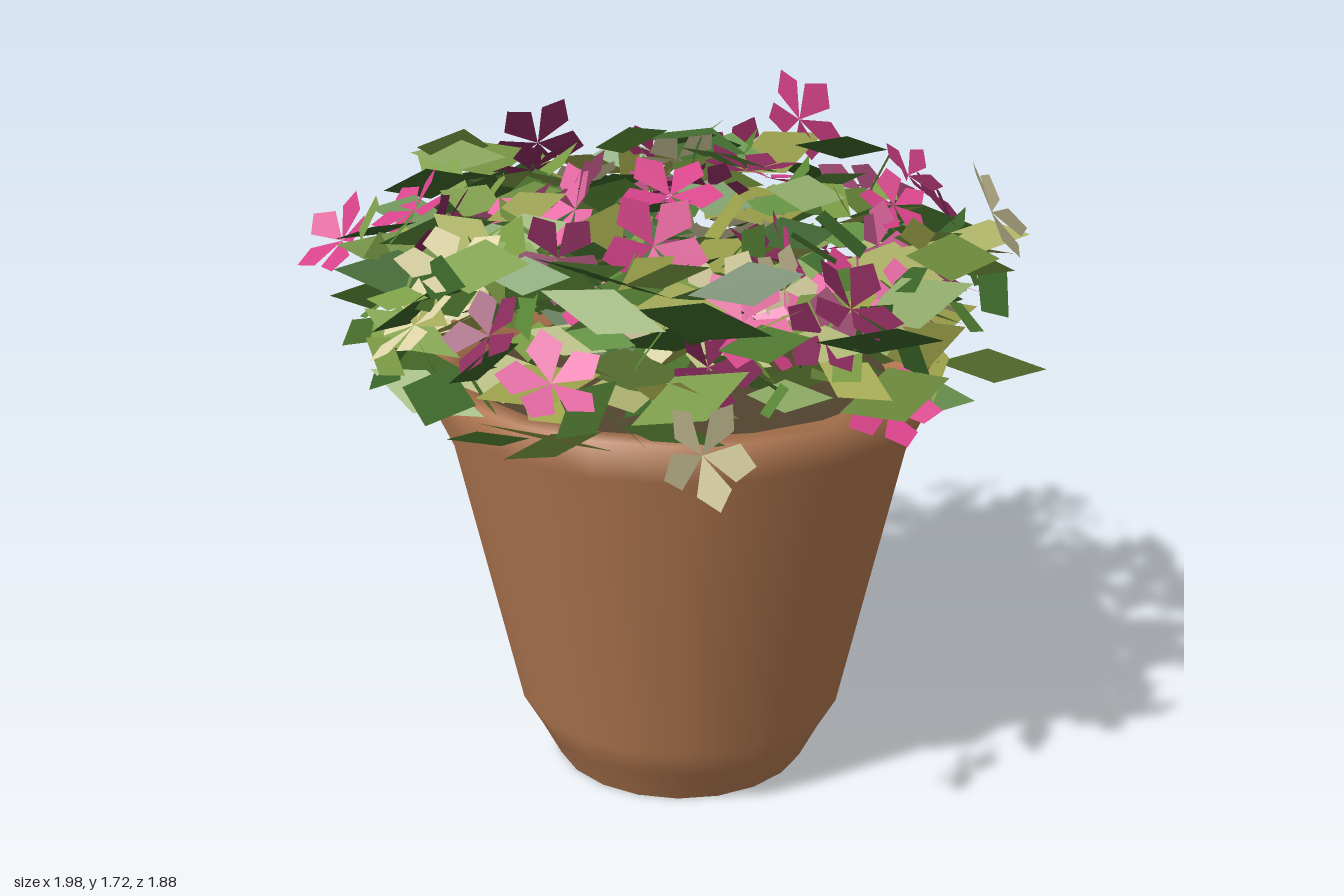
import * as THREE from 'three';
import { mergeGeometries } from 'three/addons/utils/BufferGeometryUtils.js';

// Small seeded generator
let seed = 7;
function rnd(a = 0, b = 1) {
  seed = (seed * 16807) % 2147483647;
  return a + (b - a) * (seed / 2147483647);
}

// Flat kite along +z, facing up: base, tip and two side corners
function kite(length, width, widest) {
  const w = width / 2, m = length * widest;
  const g = new THREE.BufferGeometry();
  g.setAttribute('position', new THREE.Float32BufferAttribute([
    0, 0, 0, 0, 0, length, w, 0, m,
    0, 0, 0, -w, 0, m, 0, 0, length], 3));
  g.computeVertexNormals();
  return g;
}

const placer = new THREE.Object3D();
placer.rotation.order = 'YXZ';
function place(g, x, y, z, yaw, pitch, roll) {
  placer.position.set(x, y, z);
  placer.rotation.set(pitch, yaw, roll);
  placer.updateMatrix();
  return g.applyMatrix4(placer.matrix);
}

// Five petals round the y axis, cupped a little
function flower(size) {
  const petals = [];
  for (let i = 0; i < 5; i++) {
    const g = kite(size, size * 0.66, 0.66);
    petals.push(place(g, 0, 0, 0, (i * Math.PI * 2) / 5, rnd(-0.4, 0), rnd(-0.25, 0.25)));
  }
  return mergeGeometries(petals);
}

const lathe = (points) =>
  new THREE.LatheGeometry(points.map(([r, y]) => new THREE.Vector2(r, y)), 20);

export function createModel() {
  seed = 7;
  const model = new THREE.Group();
  const add = (parent, name, geo, color, options = {}) => {
    const mesh = new THREE.Mesh(geo, new THREE.MeshStandardMaterial({ color, ...options }));
    mesh.name = name;
    parent.add(mesh);
  };

  // Pot, open underneath, with domed soil
  const pot = new THREE.Group();
  pot.name = 'pot';
  pot.position.set(0.01, 0, 0.01);
  model.add(pot);
  add(pot, 'potWall', lathe([[0.345, 0], [0.395, 0.1], [0.445, 0.19], [0.61, 0.95], [0.655, 1.05],
    [0.66, 1.15], [0.6, 1.15], [0.55, 1.07]]), 0xb57a52, { side: THREE.DoubleSide });
  add(pot, 'soil', lathe([[0.56, 1.07], [0.3, 1.1], [0, 1.11]]), 0x51442f);

  // Leaves: long axis near level, blade tilted steeply to either side
  const leafColors = [0x5b8a38, 0x3a6428, 0x7c9d45, 0x9ca24a];
  const leaves = leafColors.map(() => []);
  const addLeaf = (x, y, z, yaw, length, i) => {
    const g = kite(length, length * rnd(0.36, 0.48), rnd(0.42, 0.55)).translate(0, 0, -length / 2);
    const roll = rnd(0.45, 1.25) * (rnd() < 0.5 ? -1 : 1);
    leaves[i % 4].push(place(g, x, y, z, yaw, rnd(-0.28, 0.28), roll));
  };
  // Outermost leaves, given by their tips
  const tips = [[0.99, 1.34, -0.22], [-0.99, 1.39, 0.12], [0.27, 1.22, 0.94], [0.31, 1.22, -0.94],
    [0.9, 1.35, 0.38], [-0.86, 1.42, -0.25], [-0.62, 1.45, -0.6], [-0.28, 1.3, 0.84]];
  tips.forEach(([x, y, z], i) => {
    const yaw = Math.atan2(x, z), length = 0.28;
    addLeaf(x - Math.sin(yaw) * length / 2, y, z - Math.cos(yaw) * length / 2, yaw, length, i);
  });
  for (let n = 0; n < 350;) {
    const angle = rnd(0, Math.PI * 2), r = 0.87 * Math.pow(rnd(0.02, 1), 0.5);
    const y = rnd(1.17, 1.58), length = rnd(0.2, 0.35), yaw = angle + rnd(-1.6, 1.6);
    const x = r * Math.sin(angle), z = r * Math.cos(angle);
    const reach = Math.hypot(x + Math.sin(yaw) * length / 2, z + Math.cos(yaw) * length / 2);
    if (reach > 0.94 - Math.abs(y - 1.36) * 0.4) continue;
    addLeaf(x, y, z, yaw, length, n++);
  }
  const foliage = new THREE.Group();
  foliage.name = 'foliage';
  model.add(foliage);
  const thin = { side: THREE.DoubleSide, flatShading: true };
  leaves.forEach((list, i) => add(foliage, 'leaves' + (i + 1), mergeGeometries(list), leafColors[i], thin));

  // Flowers: position and colour (0 magenta, 1 pink, 2 plum, 3 cream)
  const flowerColors = [0xd64289, 0xe86ba6, 0x8a2b5c, 0xded5a6];
  const flowers = flowerColors.map(() => []);
  const addFlower = (x, y, z, size, c) => {
    const yaw = Math.atan2(x, z) + rnd(-0.5, 0.5);
    flowers[c].push(place(flower(size), x, y, z, yaw, rnd(0.25, 1.25), rnd(-0.4, 0.4)));
  };
  const spots = [
    [-0.46, 1.42, -0.74, 0], [-0.83, 1.45, 0.1, 2], [-0.78, 1.35, 0.24, 1], [-0.66, 1.22, 0.58, 3],
    [0.38, 1.56, 0.7, 3], [0.46, 1.33, 0.5, 1], [0.78, 1.42, -0.4, 0], [0.74, 1.59, -0.13, 0],
    [0.76, 1.14, 0.08, 2], [0.74, 1.4, 0.36, 2], [0.3, 1.52, -0.72, 2], [0.34, 1.55, -0.02, 2],
    [0.2, 1.4, 0.2, 0], [-0.13, 1.57, -0.2, 1], [-0.35, 1.56, 0.2, 0], [-0.4, 1.45, 0.5, 0],
    [-0.25, 1.48, 0.7, 2], [-0.13, 1.2, 0.74, 0], [0.12, 1.5, -0.4, 3], [0.4, 1.52, -0.3, 3],
    [-0.05, 1.58, 0.02, 0], [0.2, 1.38, 0.6, 3], [-0.16, 1.45, 0.45, 3], [-0.42, 1.5, -0.42, 2],
    [-0.74, 1.38, -0.22, 3], [0.48, 1.5, -0.45, 0], [-0.1, 1.3, 0.3, 1], [-0.05, 1.38, -0.72, 3],
    [0.8, 1.4, 0.05, 1]];
  spots.forEach(([x, y, z, c]) => addFlower(x, y, z, rnd(0.12, 0.15), c));
  for (let n = 0; n < 42; n++) {
    const a = n * 2.4, r = rnd(0.2, 0.74);
    addFlower(r * Math.sin(a), rnd(1.2, 1.56), r * Math.cos(a), rnd(0.1, 0.145), n % 4);
  }
  const blossoms = new THREE.Group();
  blossoms.name = 'flowers';
  model.add(blossoms);
  const names = ['magentaFlowers', 'pinkFlowers', 'plumFlowers', 'creamFlowers'];
  flowers.forEach((list, i) => add(blossoms, names[i], mergeGeometries(list), flowerColors[i], thin));

  return model;
}
